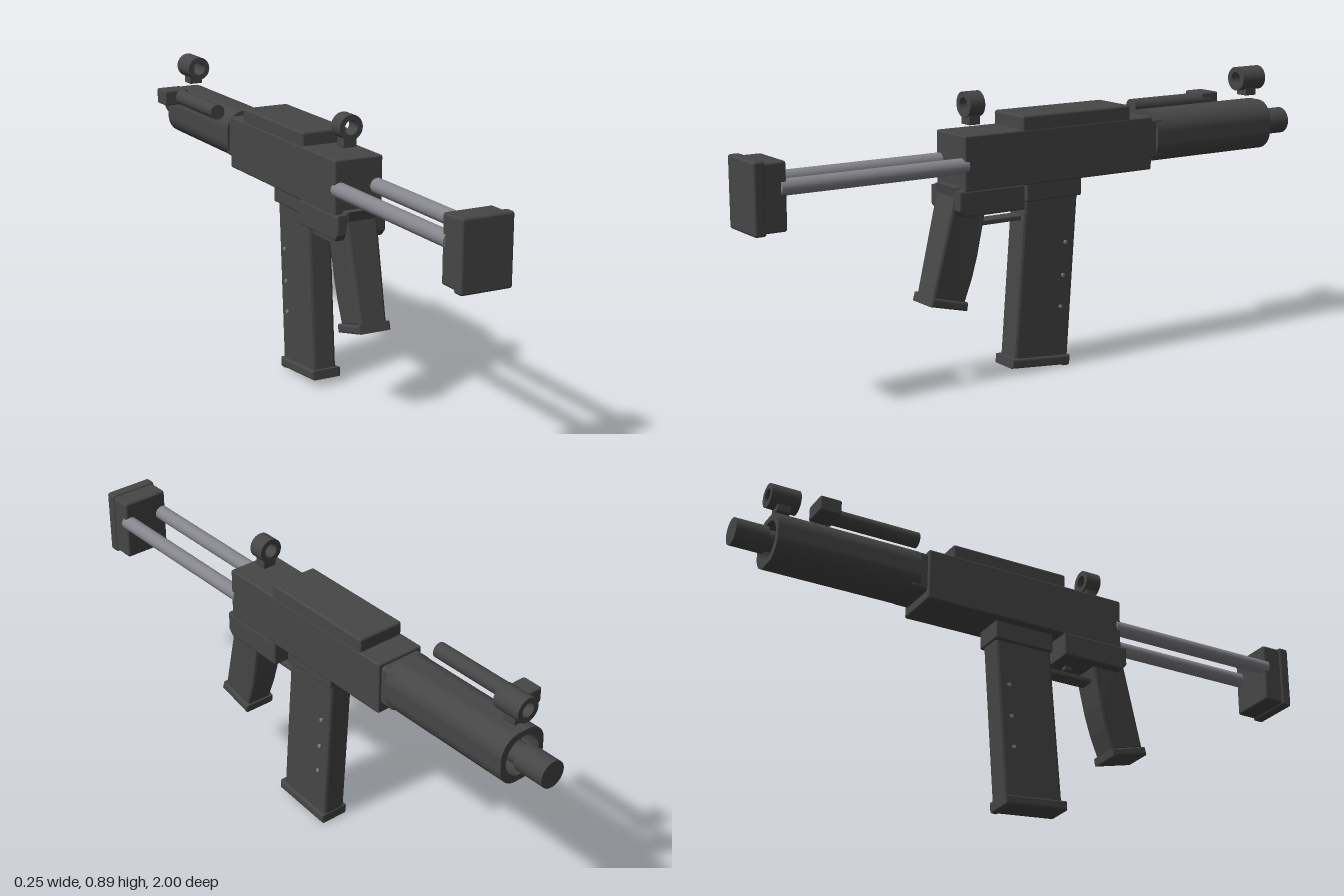
import * as THREE from 'three';
import { RoundedBoxGeometry } from 'three/addons/geometries/RoundedBoxGeometry.js';

const CX = 0.036; // centre line of the body

export function createModel() {
  const root = new THREE.Group();
  const dark = new THREE.MeshStandardMaterial({ color: 0x464646 });
  dark.name = 'dark metal';
  const steel = new THREE.MeshStandardMaterial({ color: 0x85858c });
  steel.name = 'steel';

  const add = (name, geometry, material = dark) => {
    const mesh = new THREE.Mesh(geometry, material);
    mesh.name = name;
    root.add(mesh);
    return mesh;
  };
  // Softly edged box from its limits
  const box = (name, x0, x1, y0, y1, z0, z1, r = 0.006, mat = dark) => {
    const g = new RoundedBoxGeometry(x1 - x0, y1 - y0, z1 - z0, 2, r);
    g.translate((x0 + x1) / 2, (y0 + y1) / 2, (z0 + z1) / 2);
    return add(name, g, mat);
  };
  // Cylinder along z
  const rod = (name, x, y, z0, z1, r, mat = dark) => {
    const g = new THREE.CylinderGeometry(r, r, z1 - z0, 28);
    g.rotateX(Math.PI / 2);
    g.translate(x, y, (z0 + z1) / 2);
    return add(name, g, mat);
  };
  // Side outline in (z, y), extruded over the width; taper narrows it downwards
  const slab = (name, points, width, bevel = 0.006, taper = null) => {
    const shape = new THREE.Shape(points.map(p => new THREE.Vector2(...p)));
    const g = new THREE.ExtrudeGeometry(shape, {
      depth: width - 2 * bevel, bevelEnabled: true, bevelSize: bevel,
      bevelThickness: bevel, bevelOffset: -bevel, bevelSegments: 2,
    });
    g.translate(0, 0, -(width - 2 * bevel) / 2);
    g.rotateY(-Math.PI / 2);
    if (taper) {
      const p = g.attributes.position;
      for (let i = 0; i < p.count; i++) {
        const t = THREE.MathUtils.clamp((p.getY(i) - taper.y0) / (taper.y1 - taper.y0), 0, 1);
        p.setX(i, p.getX(i) * THREE.MathUtils.lerp(taper.scale, 1, t));
      }
      g.computeVertexNormals();
    }
    g.translate(CX, 0, 0);
    return add(name, g);
  };

  // Receiver and its top cover
  box('receiver', -0.045, 0.118, 0.605, 0.775, -0.385, 0.315);
  box('topCover', -0.043, 0.117, 0.765, 0.818, -0.30, 0.108, 0.008);
  box('frontCollar', -0.036, 0.108, 0.635, 0.765, -0.44, -0.37, 0.012);

  // Handguard: rounded hollow shell, open at the muzzle
  const guard = new THREE.Shape();
  const w = 0.081, r = 0.062;
  guard.absarc(w - r, w - r, r, 0, Math.PI / 2);
  guard.absarc(r - w, w - r, r, Math.PI / 2, Math.PI);
  guard.absarc(r - w, r - w, r, Math.PI, Math.PI * 1.5);
  guard.absarc(w - r, r - w, r, Math.PI * 1.5, Math.PI * 2);
  const bore = new THREE.Path();
  bore.absarc(0, 0, 0.063, 0, Math.PI * 2, true);
  guard.holes.push(bore);
  const guardGeo = new THREE.ExtrudeGeometry(guard, { depth: 0.475, bevelEnabled: false, curveSegments: 12 });
  guardGeo.translate(CX, 0.702, -0.885);
  add('handguard', guardGeo);
  rod('handguardCore', CX, 0.702, -0.82, -0.41, 0.0635);

  // Barrel and muzzle
  rod('barrel', CX, 0.702, -0.91, -0.40, 0.033);
  rod('muzzle', CX, 0.702, -1.0, -0.895, 0.043);

  // Charging handle on the right side
  rod('chargingTube', -0.065, 0.78, -0.76, -0.44, 0.025);
  box('chargingKnob', -0.128, -0.042, 0.755, 0.806, -0.79, -0.72);

  // Ring sights
  const sight = (name, z0, z1, stem0, stem1, y0) => {
    const ring = new THREE.Shape();
    ring.absarc(0, 0, 0.039, 0, Math.PI * 2);
    const eye = new THREE.Path();
    eye.absarc(0, 0, 0.022, 0, Math.PI * 2, true);
    ring.holes.push(eye);
    const g = new THREE.ExtrudeGeometry(ring, { depth: z1 - z0, bevelEnabled: false, curveSegments: 20 });
    g.translate(CX, 0.856, z0);
    add(name + 'Ring', g);
    box(name + 'Stem', 0.013, 0.059, y0, 0.828, stem0, stem1, 0.003);
  };
  sight('rearSight', 0.215, 0.268, 0.222, 0.262, 0.795);
  sight('frontSight', -0.895, -0.80, -0.87, -0.825, 0.80);
  box('frontSightPost', 0.033, 0.039, 0.832, 0.862, -0.85, -0.844, 0.001);

  // Grip with bracket and foot
  slab('gripBracket', [[0.335, 0.55], [0.318, 0.53], [0.10, 0.53], [0.10, 0.61], [0.335, 0.61]], 0.166);
  slab('grip', [[0.34, 0.62], [0.335, 0.59], [0.412, 0.285], [0.295, 0.255], [0.268, 0.33],
    [0.25, 0.40], [0.225, 0.53], [0.225, 0.62]].reverse(), 0.11, 0.01, { y0: 0.27, y1: 0.5, scale: 0.82 });
  slab('gripFoot', [[0.422, 0.265], [0.415, 0.292], [0.288, 0.259], [0.292, 0.233]].reverse(), 0.11);

  // Trigger and guard
  box('triggerGuard', 0.01, 0.062, 0.485, 0.501, 0.07, 0.235, 0.004);
  box('trigger', 0.024, 0.048, 0.517, 0.54, 0.145, 0.172, 0.004);

  // Magazine well, magazine and base plate
  box('magazineWell', -0.017, 0.089, 0.545, 0.612, -0.132, 0.075);
  slab('magazine', [[0.073, 0.56], [-0.127, 0.56], [-0.09, 0.02], [0.113, 0.04]].reverse(), 0.082, 0.01);
  slab('magazineBase', [[0.125, 0.052], [-0.094, 0.033], [-0.092, 0.002], [0.127, 0.022]].reverse(), 0.10);
  box('magazineBaseTip', -0.01, 0.082, 0, 0.02, -0.09, -0.07, 0.003);

  // Rivets on both sides of the magazine
  for (const [z, y] of [[-0.078, 0.40], [-0.069, 0.295], [-0.06, 0.195]]) {
    const g = new THREE.CylinderGeometry(0.006, 0.006, 0.092, 10);
    g.rotateZ(Math.PI / 2);
    g.translate(CX, y, z);
    add('magazineRivet', g, steel);
  }

  // Stock: two steel rods and a stepped butt plate
  for (const x of [-0.027, 0.099]) rod('stockRod', x, 0.683, 0.30, 0.915, 0.024, steel);
  box('buttBlock', -0.043, 0.115, 0.558, 0.76, 0.897, 0.97, 0.008);
  box('buttPlate', -0.047, 0.119, 0.552, 0.766, 0.963, 1.0, 0.008);
  return root;
}
